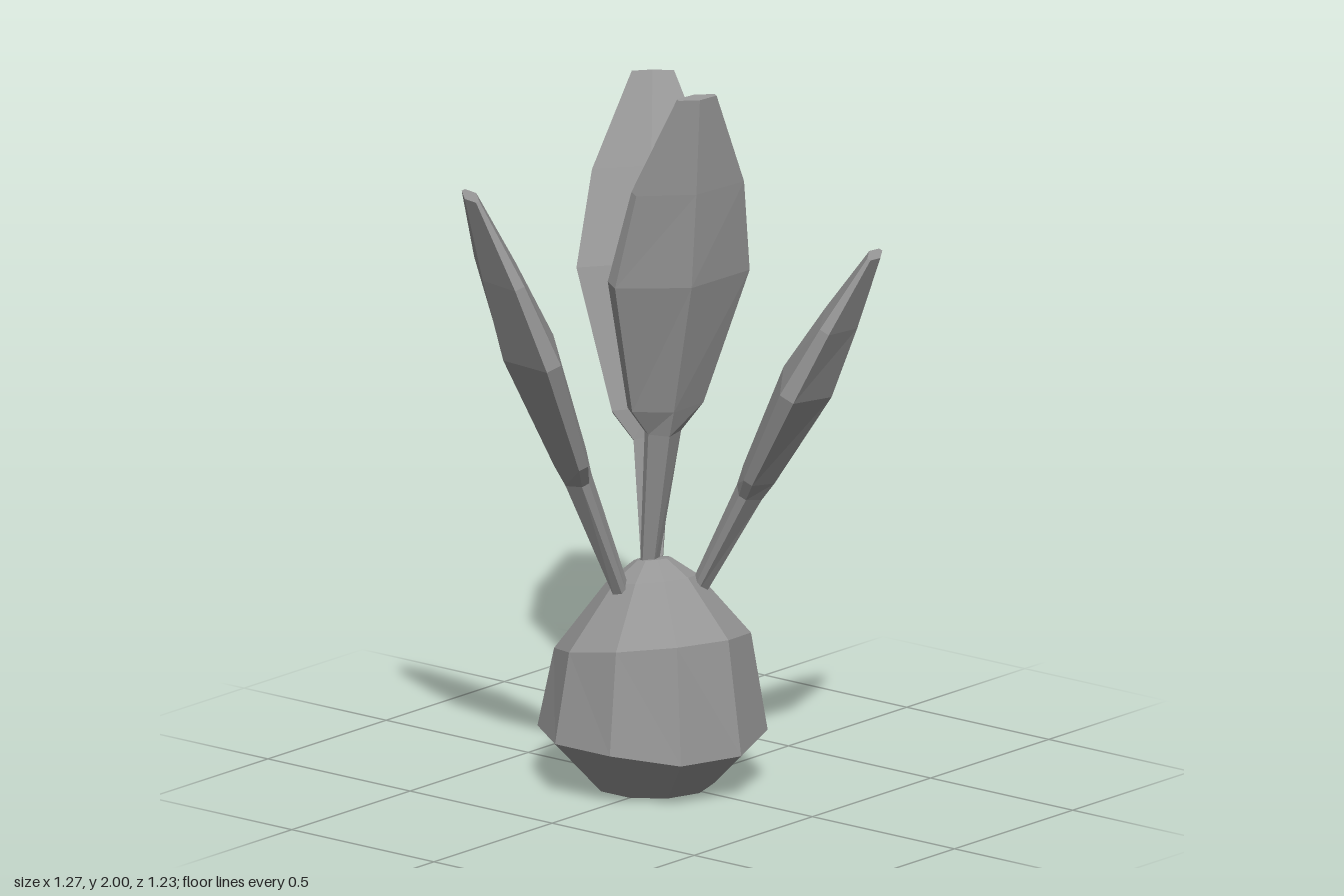
import * as THREE from 'three';

const material = new THREE.MeshStandardMaterial({ color: 0x979797, flatShading: true, side: THREE.DoubleSide });

// Stations from stem base to blade tip: position, stem half width, share of blade half width, half thickness
const STATIONS = [
  [0, 0.024, 0, 0.024],
  [0.29, 0.05, 0, 0.04],
  [0.345, 0, 0.53, 0.05],
  [0.62, 0, 1, 0.078],
  [0.81, 0, 0.8, 0.052],
  [1, 0, 0.28, 0.018],
];

// Six-sided section: a ridge on each face and a thin rim on each edge
const SECTION = [[1, -0.28], [1, 0.28], [0, 1], [-1, 0.28], [-1, -0.28], [0, -1]];

function leafGeometry(base, tip, across, halfWidth) {
  const a = new THREE.Vector3(...base);
  const b = new THREE.Vector3(...tip);
  const axis = b.clone().sub(a).normalize();
  const side = new THREE.Vector3(...across);
  side.addScaledVector(axis, -side.dot(axis)).normalize();
  const normal = axis.clone().cross(side);
  const n = SECTION.length;
  const positions = [];
  const index = [];

  STATIONS.forEach(([t, stem, share, thick], i) => {
    const centre = a.clone().lerp(b, t);
    const w = stem + share * halfWidth;
    SECTION.forEach(([u, v], j) => {
      const p = centre.clone().addScaledVector(side, u * w).addScaledVector(normal, v * thick);
      positions.push(p.x, p.y, p.z);
      if (i === 0) return;
      const k = (j + 1) % n;
      const lo = (i - 1) * n;
      const hi = i * n;
      index.push(lo + j, lo + k, hi + k, lo + j, hi + k, hi + j);
    });
  });

  // End caps
  const last = (STATIONS.length - 1) * n;
  for (let j = 1; j < n - 1; j++) {
    index.push(0, j + 1, j, last, last + j, last + j + 1);
  }

  const geometry = new THREE.BufferGeometry();
  geometry.setAttribute('position', new THREE.Float32BufferAttribute(positions, 3));
  geometry.setIndex(index);
  geometry.computeVertexNormals();
  return geometry;
}

// Ten-sided bulb, open underneath; the upper rings lean down to the back and the rim dips at the front
function bulbGeometry() {
  const profile = [[0.165, 0], [0.312, 0.155], [0.267, 0.4], [0.125, 0.575], [0.05, 0.63], [0, 0.635]];
  const geometry = new THREE.LatheGeometry(profile.map(([r, y]) => new THREE.Vector2(r, y)), 10);
  const p = geometry.attributes.position;
  for (let i = 0; i < p.count; i++) {
    const x = p.getX(i), y = p.getY(i), z = p.getZ(i);
    if (y > 0.3) p.setY(i, y + 0.18 * z - 0.08 * x);
    else if (y > 0.1 && z - 0.5 * x > 0.3) p.setY(i, y - 0.025);
  }
  geometry.translate(-0.015, 0, -0.05);
  geometry.computeVertexNormals();
  return geometry;
}

export function createModel() {
  const group = new THREE.Group();
  const add = (name, geometry) => {
    const mesh = new THREE.Mesh(geometry, material);
    mesh.name = name;
    group.add(mesh);
  };

  add('bulb', bulbGeometry());
  // Leaves: stem base, blade tip, direction across the blade, blade half width
  add('frontLeaf', leafGeometry([0.045, 0.55, 0.06], [0.15, 1.565, 0.595], [0.94, 0.02, -0.33], 0.155));
  add('tallLeaf', leafGeometry([-0.03, 0.61, -0.05], [-0.14, 2.0, 0.21], [0.92, 0, 0.39], 0.205));
  add('rightLeaf', leafGeometry([-0.13, 0.55, -0.06], [-0.605, 1.75, -0.2], [0.46, 0.08, -0.885], 0.18));
  add('backLeaf', leafGeometry([0.09, 0.5, -0.14], [0.6, 1.775, -0.56], [0.59, 0.03, 0.81], 0.205));
  return group;
}
